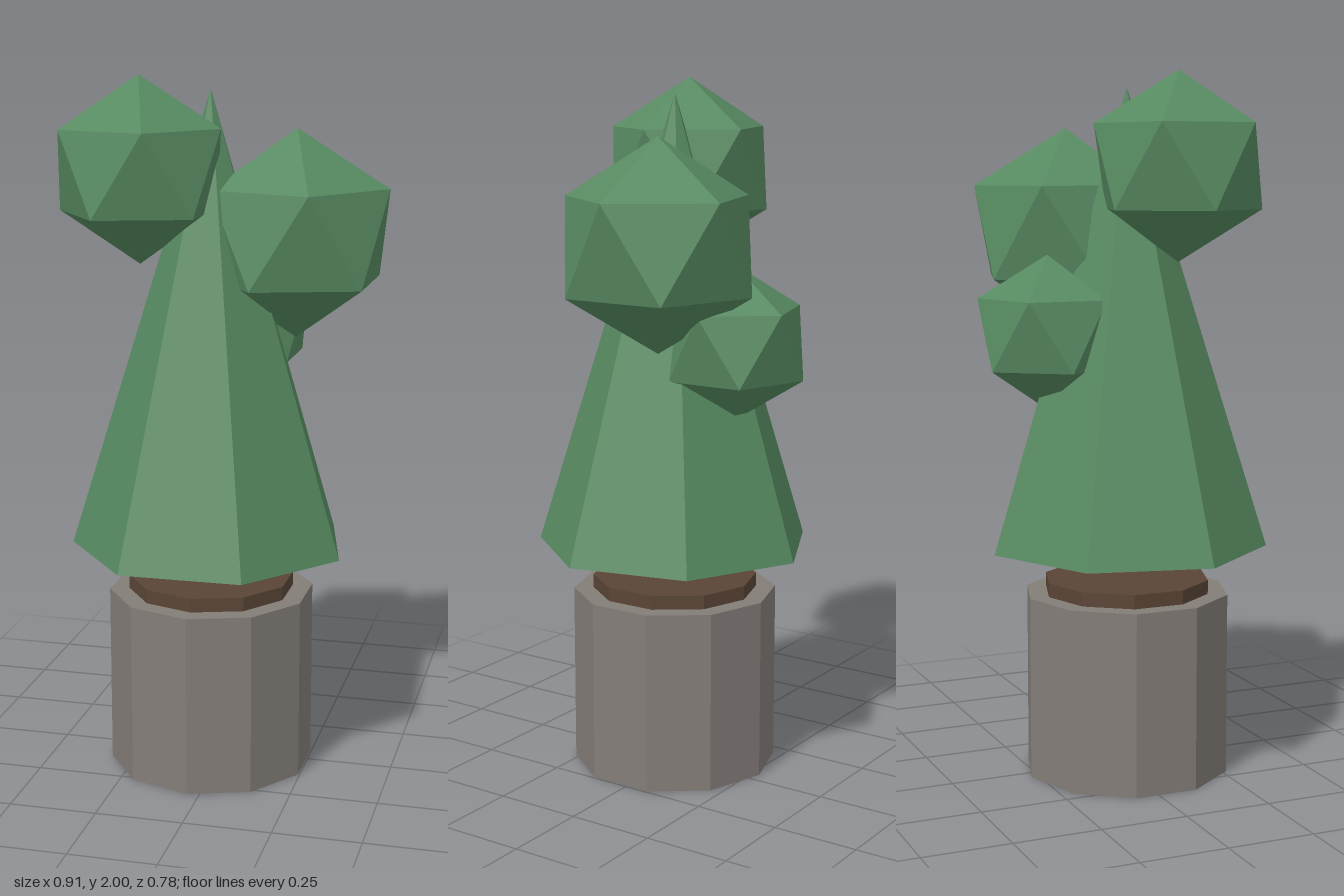
import * as THREE from 'three';

const material = (color) => new THREE.MeshStandardMaterial({ color, flatShading: true });

export function createModel() {
  const model = new THREE.Group();
  model.name = 'pottedTree';
  const leaf = material(0x578a61);
  const clay = material(0x837d78);
  const earth = material(0x5a4536);
  const axisX = -0.037, axisZ = 0.023;

  function add(name, geometry, mat, x, y, z) {
    const mesh = new THREE.Mesh(geometry, mat);
    mesh.name = name;
    mesh.position.set(x, y, z);
    model.add(mesh);
    return mesh;
  }

  // Ten-sided pot with a disc of soil standing proud of its top
  add('pot', new THREE.CylinderGeometry(0.297, 0.297, 0.525, 10), clay, axisX, 0.2625, axisZ);
  add('soil', new THREE.CylinderGeometry(0.24, 0.24, 0.08, 10), earth, axisX, 0.525, axisZ);

  // Seven-sided cone floating above the soil, one corner pointing to the back
  const cone = new THREE.ConeGeometry(0.403, 1.3, 7);
  cone.rotateY(Math.PI);
  add('foliageCone', cone, leaf, axisX, 1.31, axisZ);

  // Foliage balls: icosahedra standing on a corner, upper ring pointing to +x
  const ball = new THREE.IcosahedronGeometry(1, 0);
  ball.rotateX(-Math.atan2((1 + Math.sqrt(5)) / 2, 1));
  ball.rotateY(Math.PI / 2);
  [
    ['rightFoliageBall', 0.26, -0.222, 1.74, 0.097],
    ['leftFoliageBall', 0.295, 0.188, 1.555, -0.073],
    ['backFoliageBall', 0.219, 0, 1.277, -0.203],
  ].forEach(([name, radius, x, y, z]) => add(name, ball, leaf, x, y, z).scale.setScalar(radius));

  return model;
}
